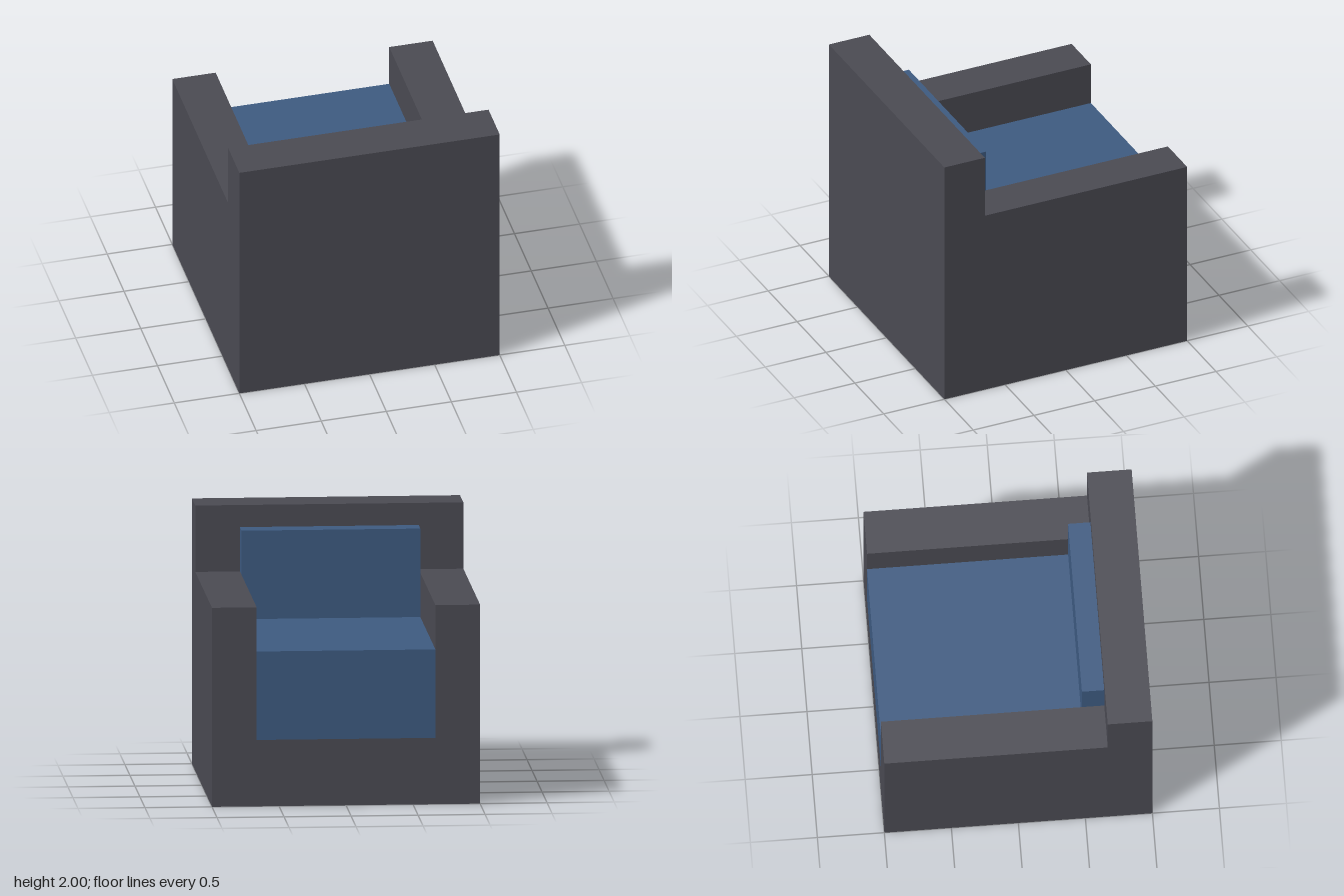
import * as THREE from 'three';

export function createModel() {
  const model = new THREE.Group();
  model.name = 'armchair';

  const frameGrey = new THREE.MeshStandardMaterial({ color: 0x4a4a52 });
  frameGrey.name = 'frame grey';
  const cushionBlue = new THREE.MeshStandardMaterial({ color: 0x3d5a80 });
  cushionBlue.name = 'cushion blue';

  // Box given by its [min, max] extent on each axis
  function block(name, material, [x0, x1], [y0, y1], [z0, z1]) {
    const mesh = new THREE.Mesh(new THREE.BoxGeometry(x1 - x0, y1 - y0, z1 - z0), material);
    mesh.position.set((x0 + x1) / 2, (y0 + y1) / 2, (z0 + z1) / 2);
    mesh.name = name;
    model.add(mesh);
  }

  const inner = 2 / 3; // inner face of the arms and of the backrest
  const seatTop = 7 / 6;

  // Frame: the seat opens towards -z
  block('backrest', frameGrey, [-1, 1], [0, 2], [inner, 1]);
  block('leftArm', frameGrey, [inner, 1], [0, 1.5], [-1, inner]);
  block('rightArm', frameGrey, [-1, -inner], [0, 1.5], [-1, inner]);
  block('base', frameGrey, [-inner, inner], [0, 0.5], [-1, inner]);

  // Cushions
  block('seatCushion', cushionBlue, [-inner, inner], [0.5, seatTop], [-1, inner]);
  block('backCushion', cushionBlue, [-inner, inner], [seatTop, 11 / 6], [0.5, inner]);

  return model;
}
